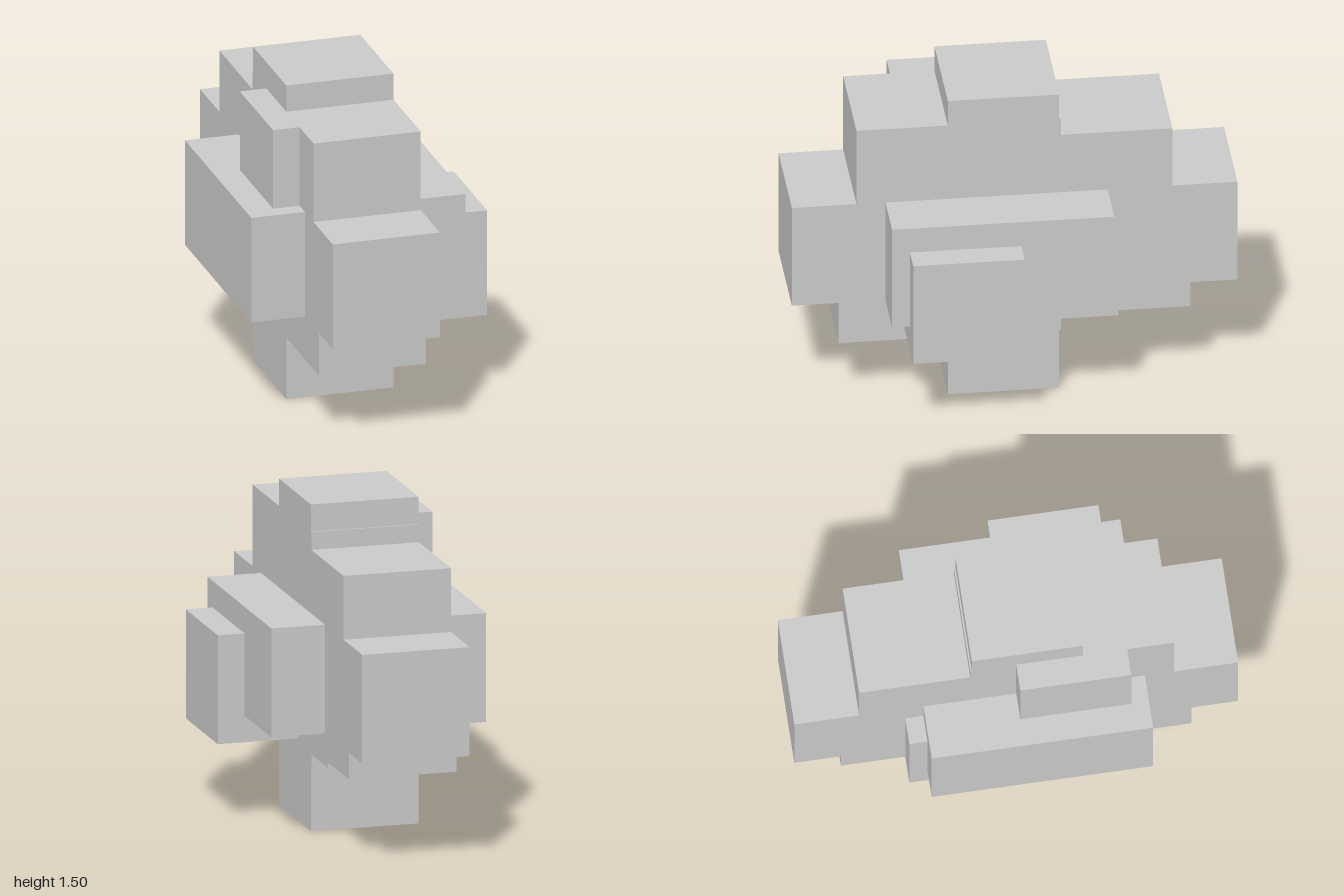
import * as THREE from 'three';

const material = new THREE.MeshStandardMaterial({ color: 0xcccccc, flatShading: true });

function addBlock(group, name, x, y, z) {
  const mesh = new THREE.Mesh(
    new THREE.BoxGeometry(x[1] - x[0], y[1] - y[0], z[1] - z[0]), material);
  mesh.position.set((x[0] + x[1]) / 2, (y[0] + y[1]) / 2, (z[0] + z[1]) / 2);
  mesh.name = name;
  group.add(mesh);
}

export function createModel() {
  const group = new THREE.Group();
  group.name = 'blockCluster';

  // Central slab: stepped side outline as (z, y), extruded across the width
  const outline = [
    [0.3, 0], [0.3, 0.295], [0.79, 0.295], [0.79, 0.5], [1, 0.5], [1, 1],
    [0.71, 1], [0.71, 1.375], [0.3, 1.375], [0.3, 1.5], [-0.2, 1.5], [-0.2, 1.375],
    [-0.207, 1.375], [-0.207, 1.293], [-0.708, 1.293], [-0.708, 1], [-1, 1], [-1, 0.5],
    [-0.79, 0.5], [-0.79, 0.378], [-0.467, 0.378], [-0.467, 0.353], [-0.207, 0.353],
    [-0.207, 0.295], [-0.2, 0.295], [-0.2, 0],
  ].map(([z, y]) => new THREE.Vector2(z, y));
  const left = 0.186, right = -0.314;
  const geometry = new THREE.ExtrudeGeometry(new THREE.Shape(outline),
    { depth: left - right, bevelEnabled: false });
  geometry.rotateY(-Math.PI / 2).translate(left, 0, 0);
  const core = new THREE.Mesh(geometry, material);
  core.name = 'steppedCore';
  group.add(core);

  // Blocks standing out on the left side
  addBlock(group, 'leftLongBlock', [0.1, 0.435], [0.5, 1], [-0.418, 0.58]);
  addBlock(group, 'leftOuterBlock', [0.1, 0.56], [0.378, 0.878], [0, 0.5]);

  // Blocks standing out on the right side
  addBlock(group, 'rightLongBlock', [-0.564, -0.2], [0.5, 1], [-0.418, 0.58]);
  addBlock(group, 'rightUpperBlock', [-0.438, -0.2], [0.878, 1.375], [0, 0.5]);
  addBlock(group, 'rightLowerBlock', [-0.438, -0.2], [0.378, 0.878], [-0.5, 0]);

  return group;
}
